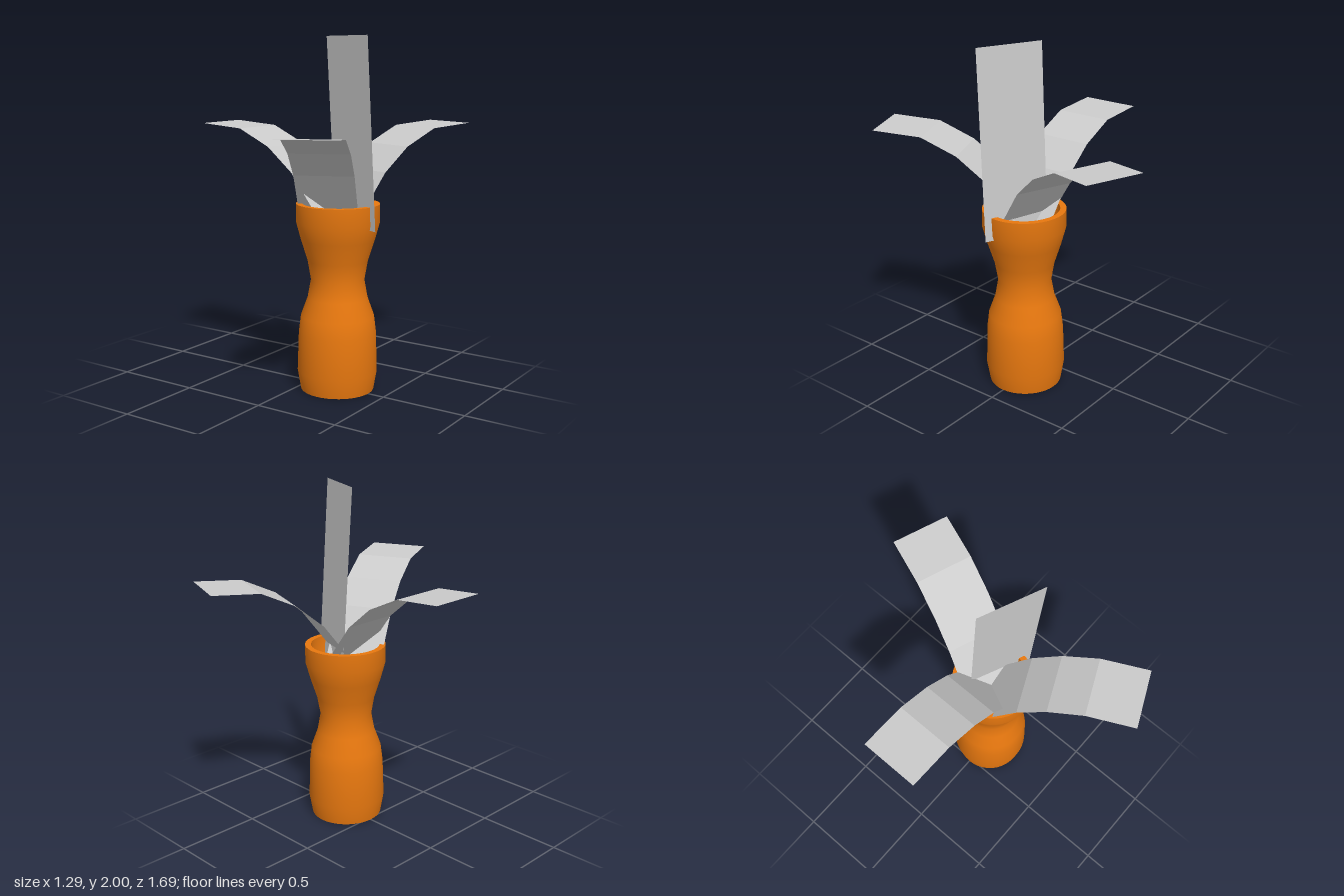
import * as THREE from 'three';
import { toCreasedNormals } from 'three/addons/utils/BufferGeometryUtils.js';

const CENTRE_X = 0.191;

// Vase wall from foot to lip: [radius, height]
const WALL = [
  [0.209, 0], [0.228, 0.11], [0.221, 0.335], [0.209, 0.43], [0.171, 0.535],
  [0.152, 0.64], [0.171, 0.75], [0.209, 0.87], [0.236, 0.97], [0.236, 1.075],
];

// Curved leaf from base to tip: [distance back from the tip, height]
const ARCH = [[0.864, 0.945], [0.635, 1.25], [0.475, 1.385], [0.275, 1.48], [0, 1.5]];

// Surface through rows of [left point, right point]
function strip(rows) {
  const position = [], index = [];
  rows.forEach(([a, b], i) => {
    position.push(...a, ...b);
    if (i > 0) {
      const k = 2 * i;
      index.push(k - 2, k - 1, k, k - 1, k + 1, k);
    }
  });
  const geometry = new THREE.BufferGeometry();
  geometry.setAttribute('position', new THREE.Float32BufferAttribute(position, 3));
  geometry.setIndex(index);
  const flat = geometry.toNonIndexed();
  flat.computeVertexNormals();
  return flat;
}

// Leaf arching outwards to a tip whose middle is (x, z), heading along (dx, dz)
function archedLeaf(x, z, dx, dz) {
  const half = 0.168;
  return strip(ARCH.map(([back, y]) => {
    const cx = x - dx * back, cz = z - dz * back;
    return [
      [cx + dz * half, y, cz - dx * half],
      [cx - dz * half, y, cz + dx * half],
    ];
  }));
}

export function createModel() {
  const model = new THREE.Group();
  const orange = new THREE.MeshStandardMaterial({ color: 0xe8780f });
  const grey = new THREE.MeshStandardMaterial({
    color: 0xcccccc, side: THREE.DoubleSide, flatShading: true,
  });
  const add = (name, geometry, material) => {
    const mesh = new THREE.Mesh(geometry, material);
    mesh.name = name;
    model.add(mesh);
    return mesh;
  };

  // Hollow vase: closed foot, outer wall, lip, then the inner wall back down
  const inner = WALL.slice(1).reverse().map(([r, y]) => [r - 0.035, y]);
  const profile = [[0, 0], ...WALL, ...inner, [0, 0.08]]
    .map(([r, y]) => new THREE.Vector2(r, y));
  const vase = add('vase', toCreasedNormals(new THREE.LatheGeometry(profile, 40), 0.7), orange);
  vase.position.x = CENTRE_X;

  // Three leaves arching outwards
  add('frontLeaf', archedLeaf(0.4875, 0.77, 0.417, 0.909), grey);
  add('backLeaf', archedLeaf(0.4775, -0.7875, 0.343, -0.939), grey);
  add('rightLeaf', archedLeaf(-0.645, 0.002, -1, 0), grey);

  // Tall straight leaf, leaning slightly
  add('uprightLeaf', strip([
    [[0.11, 0.945, -0.1], [0.465, 0.945, 0.05]],
    [[0.083, 2, -0.043], [0.44, 2, 0.108]],
  ]), grey);

  return model;
}
